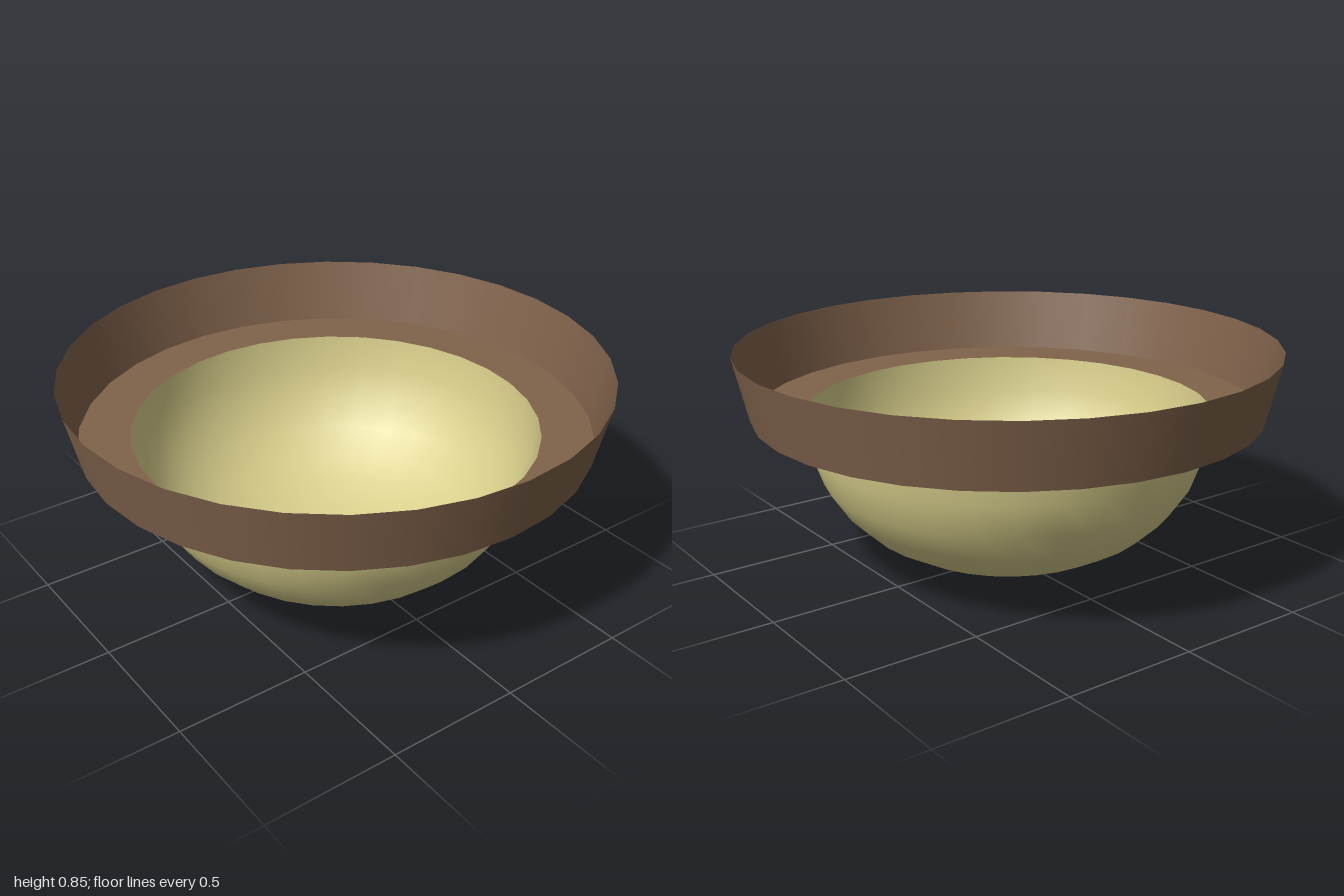
import * as THREE from 'three';

const SIDES = 32;

export function createModel() {
  const model = new THREE.Group();
  const brown = new THREE.MeshStandardMaterial({ color: 0x80624b, side: THREE.DoubleSide });
  const cream = new THREE.MeshStandardMaterial({ color: 0xd8ce8b, side: THREE.DoubleSide });

  // Each part is an open, thin surface turned around the y axis
  const turned = (name, profile, material) => {
    const points = profile.map(([r, y]) => new THREE.Vector2(r, y));
    const mesh = new THREE.Mesh(new THREE.LatheGeometry(points, SIDES), material);
    mesh.name = name;
    model.add(mesh);
  };

  // Rounded bowl, from the bottom to its mouth
  turned('bowl', [
    [0, 0], [0.15, 0.015], [0.29, 0.045], [0.42, 0.095], [0.535, 0.16],
    [0.625, 0.245], [0.695, 0.35], [0.74, 0.475], [0.755, 0.605],
  ], cream);

  // Flat ledge around the mouth
  turned('ledge', [[0.945, 0.605], [0.755, 0.605]], brown);

  // Flared wall rising from the ledge
  turned('rimWall', [[0.945, 0.605], [1, 0.845]], brown);

  return model;
}
